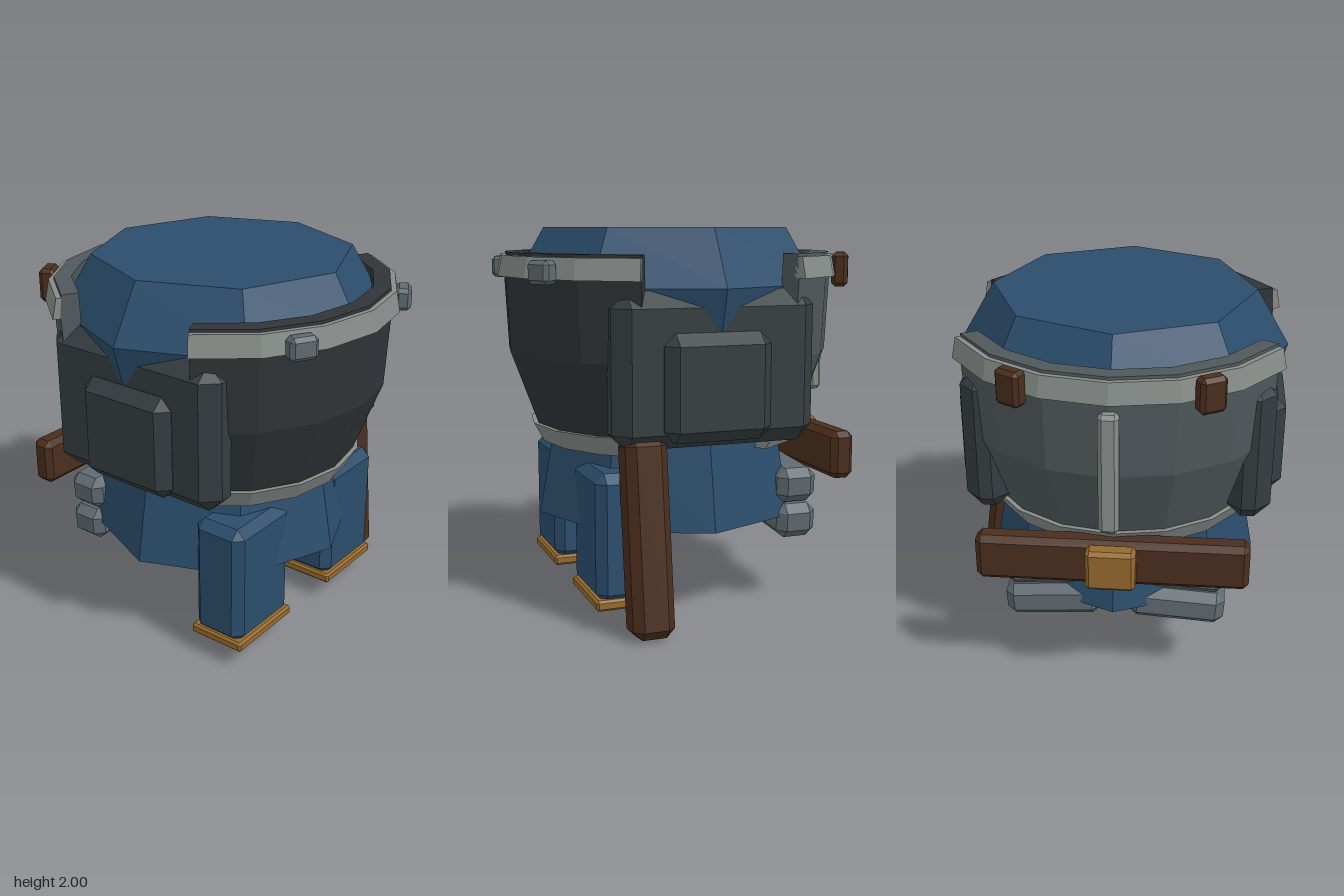
import * as THREE from 'three';
import { ConvexGeometry } from 'three/addons/geometries/ConvexGeometry.js';

const mat = (color) => new THREE.MeshStandardMaterial({ color, flatShading: true, side: THREE.DoubleSide });
const blue = mat(0x2b4d6c);
const frontSteel = mat(0x303438);
const backSteel = mat(0x50585b);
const darkSteel = mat(0x353d40);
const lightSteel = mat(0x878d8a);
const grey = mat(0x606a70);
const brown = mat(0x4a2e1d);
const gold = mat(0x94692c);

const CX = -0.03; // body axis
const ARC = THREE.MathUtils.degToRad(62.5); // half sweep of each armour plate

// Box with every edge cut by a flat chamfer
function chamferBox(w, h, d, c) {
  const pts = [];
  for (const sx of [-1, 1]) for (const sy of [-1, 1]) for (const sz of [-1, 1]) {
    const x = w / 2, y = h / 2, z = d / 2;
    pts.push(
      new THREE.Vector3(sx * x, sy * (y - c), sz * (z - c)),
      new THREE.Vector3(sx * (x - c), sy * y, sz * (z - c)),
      new THREE.Vector3(sx * (x - c), sy * (y - c), sz * z));
  }
  return new ConvexGeometry(pts);
}

export function createModel() {
  const model = new THREE.Group();
  model.name = 'armouredBody';

  const add = (name, geometry, material, x = 0, y = 0, z = 0, parent = model) => {
    const mesh = new THREE.Mesh(geometry, material);
    mesh.name = name;
    mesh.position.set(x, y, z);
    parent.add(mesh);
    return mesh;
  };
  const box = (name, material, size, chamfer, pos) =>
    add(name, chamferBox(...size, chamfer), material, ...pos);

  // Solid arc: closed profile swept about the axis, with capped ends
  const arc = (name, profile, material, centre) => {
    const pts = profile.map(([r, y]) => new THREE.Vector2(r, y));
    const group = new THREE.Group();
    group.name = name;
    group.position.x = CX;
    add(name + 'Sweep', new THREE.LatheGeometry([...pts, pts[0].clone()], 6, centre - ARC, 2 * ARC), material, 0, 0, 0, group);
    for (const s of [-1, 1]) {
      const cap = new THREE.ShapeGeometry(new THREE.Shape(pts));
      cap.rotateY(centre + s * ARC - Math.PI / 2);
      add(name + 'End', cap, material, 0, 0, 0, group);
    }
    model.add(group);
  };

  // Eight-sided torso with flared hem
  const torso = [[0, 0.48], [0.725, 0.48], [0.64, 0.95], [0.85, 1.71], [0.68, 2], [0, 2]]
    .map(([r, y]) => new THREE.Vector2(r, y));
  add('torso', new THREE.LatheGeometry(torso, 8), blue, CX);

  // Breast and back plates with upper and lower rims
  const plate = [[0.71, 0.93], [0.865, 1.35], [0.885, 1.76], [0.875, 1.872],
    [0.785, 1.872], [0.77, 1.35], [0.62, 0.93]];
  const upperRim = [[0.925, 1.75], [0.903, 1.857], [0.86, 1.857], [0.86, 1.75]];
  const lowerRim = [[0.695, 0.87], [0.75, 0.97], [0.66, 0.97], [0.62, 0.87]];
  for (const [side, centre, steel] of [['front', 0, frontSteel], ['back', Math.PI, backSteel]]) {
    arc(side + 'Plate', plate, steel, centre);
    arc(side + 'UpperRim', upperRim, lightSteel, centre);
    arc(side + 'LowerRim', lowerRim, lightSteel, centre);
  }

  // Parts mirrored left and right
  for (const s of [-1, 1]) {
    const side = s > 0 ? 'left' : 'right';
    box(side + 'SidePanel', darkSteel, [0.23, 0.77, 1.065], 0.08, [CX + s * 0.672, 1.315, 0.005]);
    box(side + 'SidePad', darkSteel, [0.2, 0.535, 0.56], 0.06, [CX + s * 0.75, 1.233, 0.018]);

    // Legs and soles
    box(side + 'Leg', blue, [0.455, 0.66, 0.3], 0.048, [CX + s * 0.412, 0.47, 0.44]);
    box(side + 'Sole', gold, [0.46, 0.055, 0.32], 0.012, [CX + s * 0.412, 0.138, 0.44]);

    // Clips on the upper rims
    const a = THREE.MathUtils.degToRad(30);
    const cx = CX + s * 0.462;
    box(side + 'FrontClip', grey, [0.145, 0.115, 0.085], 0.02, [cx, 1.785, 0.805]).rotation.y = s * a;
    box(side + 'BackClip', brown, [0.14, 0.18, 0.085], 0.02, [cx, 1.78, -0.81]).rotation.y = -s * a;

    // Stacked pouches under the belt
    for (const y of [0.467, 0.66]) {
      box(side + 'Pouch', grey, [0.5, 0.185, 0.22], 0.045, [CX + s * 0.325, y, -0.54]).rotation.z = -s * 0.065;
    }
  }

  // Belt, buckle and spine strip at the back
  box('belt', brown, [1.375, 0.25, 0.127], 0.03, [CX, 0.82, -0.738]);
  box('buckle', gold, [0.25, 0.22, 0.1], 0.02, [CX, 0.82, -0.827]);
  box('spineStrip', lightSteel, [0.1, 0.625, 0.075], 0.02, [CX, 1.39, -0.898]);

  // Slanted club hanging at the left hip
  box('club', brown, [0.2, 0.99, 0.215], 0.045, [0.707, 0.502, 0.372]).rotation.z = 0.13;

  return model;
}
